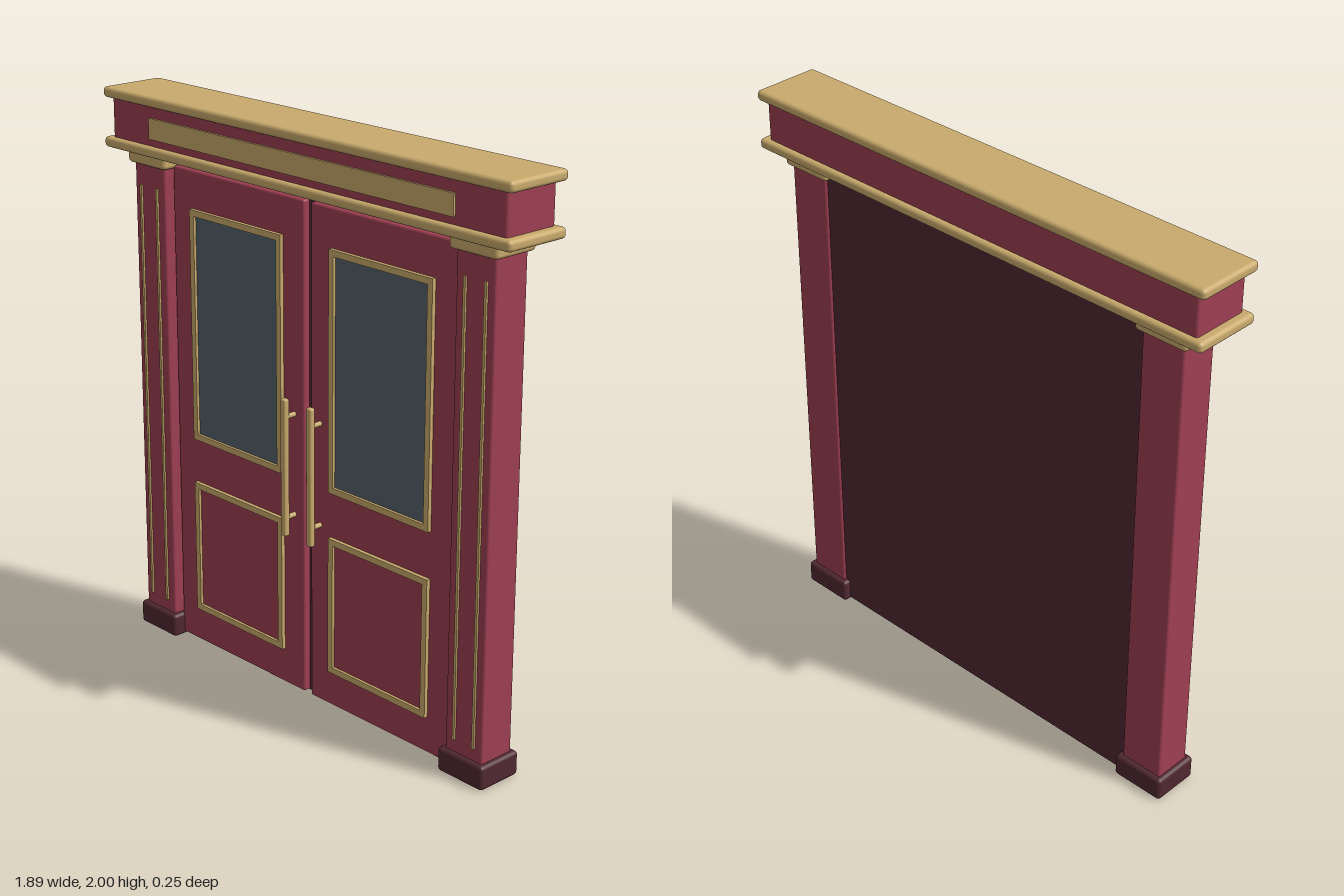
import * as THREE from 'three';
import { RoundedBoxGeometry } from 'three/addons/geometries/RoundedBoxGeometry.js';

const material = (name, color) => {
  const m = new THREE.MeshStandardMaterial({ color });
  m.name = name;
  return m;
};

export function createModel() {
  const red = material('red paint', 0x9e3f52);
  const gold = material('gold trim', 0xc9aa6c);
  const dark = material('dark wood', 0x4f2830);
  const glass = material('grey glass', 0x56616b);

  const model = new THREE.Group();
  model.name = 'doubleDoor';

  // Box given by its limits on each axis; r rounds the edges
  function box(parent, name, mat, [x0, x1], [y0, y1], [z0, z1], r = 0) {
    const size = [x1 - x0, y1 - y0, z1 - z0];
    const geo = r ? new RoundedBoxGeometry(...size, 3, r) : new THREE.BoxGeometry(...size);
    const mesh = new THREE.Mesh(geo, mat);
    mesh.name = name;
    mesh.position.set((x0 + x1) / 2, (y0 + y1) / 2, (z0 + z1) / 2);
    parent.add(mesh);
    return mesh;
  }

  // Limits mirrored to the given side
  const mirror = (side, a, b) => (side > 0 ? [a, b] : [-b, -a]);

  // Rectangular moulding with an open middle
  function moulding(parent, name, [x0, x1], [y0, y1], z, depth, w) {
    const rect = (target, a, b, c, d) =>
      target.moveTo(a, c).lineTo(b, c).lineTo(b, d).lineTo(a, d).closePath();
    const shape = rect(new THREE.Shape(), x0, x1, y0, y1);
    shape.holes.push(rect(new THREE.Path(), x0 + w, x1 - w, y0 + w, y1 - w));
    const geo = new THREE.ExtrudeGeometry(shape, { depth, bevelEnabled: false });
    const mesh = new THREE.Mesh(geo, gold);
    mesh.name = name;
    mesh.position.z = z;
    parent.add(mesh);
  }

  // Dark backing behind both doors
  box(model, 'backing', dark, [-0.69, 0.69], [0.01, 1.8], [-0.06, 0.015]);

  for (const side of [1, -1]) {
    const label = side > 0 ? 'left' : 'right';

    // Pillar with foot, capital and slim gold inlays
    const pillar = new THREE.Group();
    pillar.name = label + 'Pillar';
    model.add(pillar);
    box(pillar, 'shaft', red, mirror(side, 0.685, 0.845), [0.04, 1.77], [-0.069, 0.069], 0.008);
    box(pillar, 'foot', dark, mirror(side, 0.666, 0.863), [0, 0.086], [-0.087, 0.087], 0.014);
    box(pillar, 'capital', gold, mirror(side, 0.666, 0.863), [1.745, 1.8], [-0.087, 0.087], 0.014);
    for (const x of [0.725, 0.81]) {
      box(pillar, 'inlay', gold, mirror(side, x - 0.005, x + 0.005), [0.13, 1.67], [0.066, 0.076]);
    }

    // Door leaf with glazed upper half and panelled lower half
    const door = new THREE.Group();
    door.name = label + 'Door';
    model.add(door);
    const width = mirror(side, 0.115, 0.575);
    const inner = mirror(side, 0.137, 0.553);
    box(door, 'leaf', red, mirror(side, 0.016, 0.675), [0.01, 1.757], [0, 0.04], 0.008);
    box(door, 'window', glass, inner, [0.817, 1.603], [0.037, 0.044]);
    moulding(door, 'windowFrame', width, [0.795, 1.625], 0.038, 0.016, 0.022);
    box(door, 'lowerPanel', red, inner, [0.162, 0.61], [0.037, 0.044]);
    moulding(door, 'panelFrame', width, [0.14, 0.632], 0.038, 0.016, 0.022);

    // Upright pull handle on two posts
    const handle = new THREE.Group();
    handle.name = label + 'Handle';
    door.add(handle);
    box(handle, 'grip', gold, mirror(side, 0.05, 0.076), [0.595, 1.085], [0.073, 0.095], 0.007);
    for (const y of [0.66, 1.02]) {
      const post = new THREE.Mesh(new THREE.CylinderGeometry(0.009, 0.009, 0.045, 12), gold);
      post.name = 'post';
      post.rotation.x = Math.PI / 2;
      post.position.set(side * 0.063, y, 0.058);
      handle.add(post);
    }
  }

  // Entablature: two cornices with a red frieze and gold plaque between
  const top = new THREE.Group();
  top.name = 'entablature';
  model.add(top);
  box(top, 'lowerCornice', gold, [-0.945, 0.945], [1.79, 1.827], [-0.124, 0.124], 0.014);
  box(top, 'frieze', red, [-0.914, 0.914], [1.815, 1.975], [-0.105, 0.105], 0.01);
  box(top, 'plaque', gold, [-0.71, 0.71], [1.852, 1.924], [0.104, 0.113]);
  box(top, 'upperCornice', gold, [-0.945, 0.945], [1.963, 2], [-0.124, 0.124], 0.014);

  return model;
}
